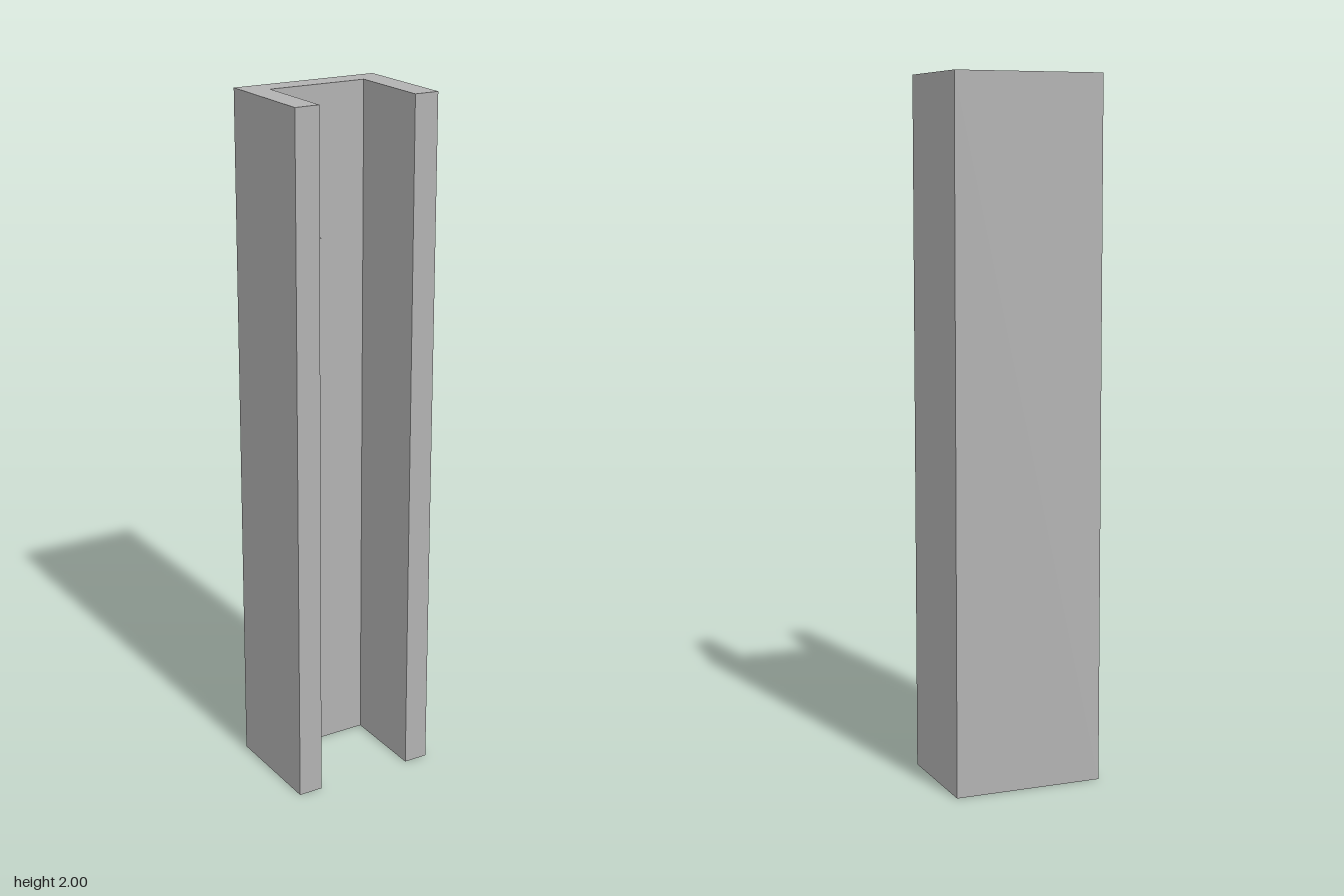
import * as THREE from 'three';

export function createModel() {
  const model = new THREE.Group();
  const grey = new THREE.MeshStandardMaterial({ color: 0xb2b2b2 });
  grey.name = 'grey';

  // U-shaped column, open towards the front
  const w = 0.218, d = 0.163, innerX = 0.146, innerZ = -0.093;
  const outline = [
    [-w, -d], [-innerX, -d], [-innerX, -innerZ], [innerX, -innerZ],
    [innerX, -d], [w, -d], [w, d], [-w, d],
  ].map(([x, y]) => new THREE.Vector2(x, y));
  const channel = new THREE.ExtrudeGeometry(new THREE.Shape(outline), { depth: 2, bevelEnabled: false });
  channel.rotateX(-Math.PI / 2);
  const column = new THREE.Mesh(channel, grey);
  column.name = 'column';
  model.add(column);

  // Small flat spike, pointing along +x
  const profile = [[0.0085, -0.006], [0.0085, 0.02], [0.006, 0.03], [0, 0.039]]
    .map(([r, y]) => new THREE.Vector2(r, y));
  const lathe = new THREE.LatheGeometry(profile, 6);
  lathe.scale(0.5, 1, 1).rotateZ(-Math.PI / 2);
  const spike = lathe.toNonIndexed();
  spike.computeVertexNormals();

  // Height, depth, upward tilt and relative length of each spike
  const spikes = [
    [1.943, 0.024, 0.1, 0.95], [1.86, 0.043, 0.1, 0.65], [1.783, 0.11, -0.15, 0.8],
    [1.71, 0.072, 0.15, 0.8], [1.646, 0.11, -0.25, 0.95], [1.582, 0.024, -0.2, 0.75],
    [1.504, 0.014, 0.05, 1.05], [1.425, -0.044, 0.1, 0.75], [1.357, 0.024, 0.25, 1.05],
    [1.275, 0.081, 0.1, 0.95], [1.195, 0.014, 0.2, 0.9], [1.112, -0.025, 0, 0.75],
    [1.026, 0.043, 0, 0.7], [0.962, 0.081, 0.15, 0.8], [0.89, -0.044, 0, 0.75],
    [0.81, 0.062, 0, 0.8], [0.754, 0.081, 0.25, 0.85], [0.689, -0.063, -0.1, 1],
    [0.603, 0.091, -0.15, 1], [0.525, 0.072, 0.1, 0.75], [0.453, 0.081, 0.2, 1.05],
    [0.378, -0.034, 0.15, 0.75], [0.293, -0.053, 0.15, 0.7], [0.209, -0.034, 0, 1],
    [0.152, 0.1, 0, 0.9], [0.06, 0.004, -0.15, 1],
  ];
  const row = new THREE.Group();
  row.name = 'wallSpikes';
  for (const [y, z, tilt, length] of spikes) {
    const mesh = new THREE.Mesh(spike, grey);
    mesh.name = 'spike';
    mesh.position.set(-innerX, y, z - 0.007);
    mesh.rotation.set(0, -0.4, tilt, 'YZX');
    mesh.scale.x = length;
    row.add(mesh);
  }
  model.add(row);
  return model;
}
